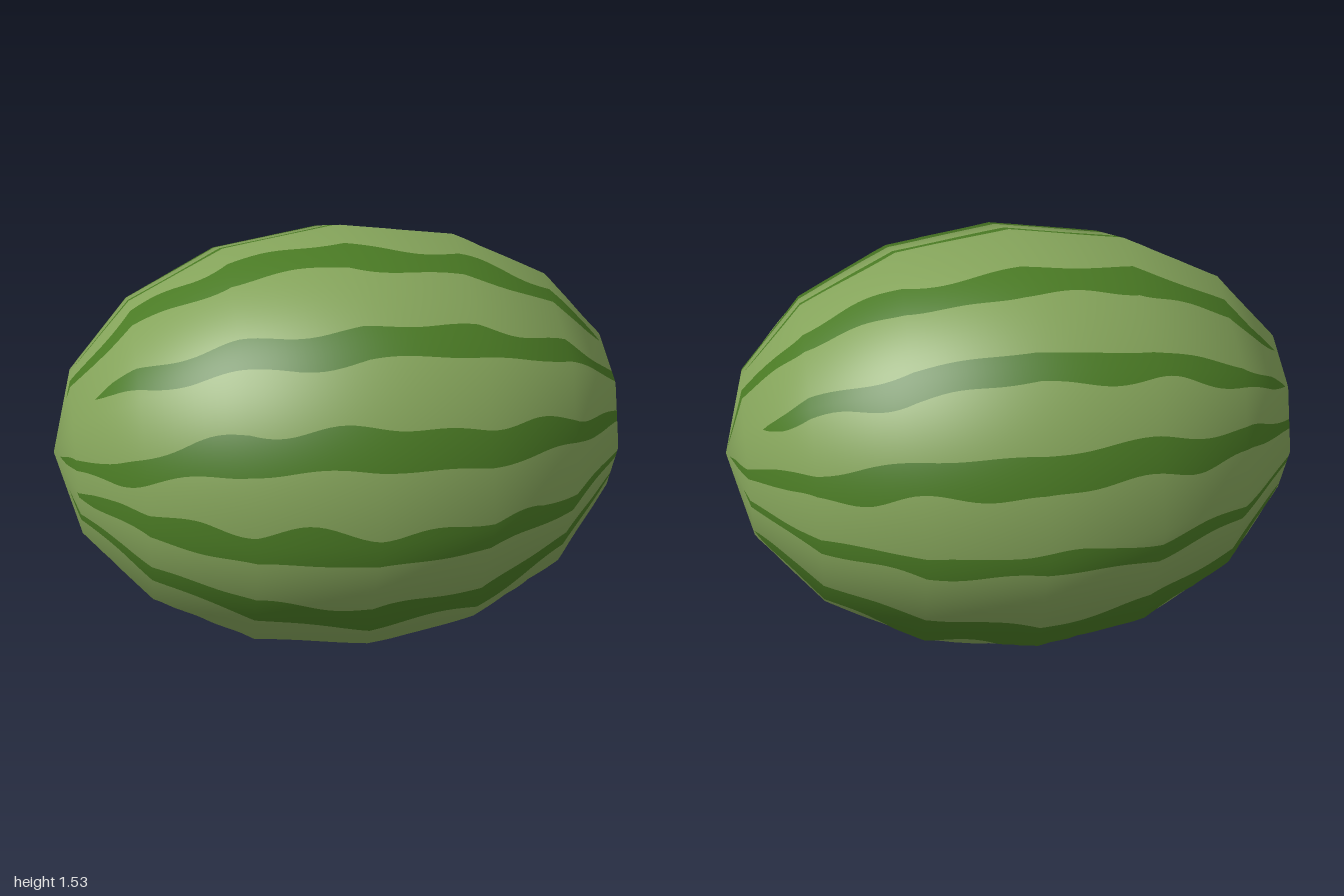
import * as THREE from 'three';
import { mergeGeometries } from 'three/addons/utils/BufferGeometryUtils.js';

const R = 0.77;      // radius at the middle; half length is 1
const STEPS = 14;    // rows per profile segment
const COLS = 8;      // columns per band
const RAD = Math.PI / 180;

// Stripes around the long axis, in degrees from the top towards the front:
// [five centres from the right end to the left end], width, right end, left end
const KNOTS = [-2.4, -1, 0, 1, 2.4];
const STRIPES = [
  [[8, 8.5, 10, 12, 10], 8, -3.2, 2.93],
  [[35, 40, 40, 40, 39], 10, -2.6, 3.25],
  [[72, 65, 67, 69, 69], 11, -3.7, 3.9],
  [[90, 92, 93, 95, 96], 11, -3.05, 3.15],
  [[116, 121, 123, 125, 121], 9.5, -3.4, 3.05],
  [[140, 149, 150, 151, 148], 9, -2.7, 3.65],
  [[178, 180, 178, 177, 177], 9, -3.3, 2.95],
  [[207, 206, 206, 205, 203], 10, -3.6, 3.05],
  [[230, 231, 229, 232, 231], 11, -3, 3],
  [[260, 263, 266, 265, 264], 9, -3.7, 3.25],
  [[290, 291, 290, 290, 287], 10.5, -3.8, 3.8],
  [[314, 316, 317, 316, 314], 8, -2.9, 2.7],
  [[344, 346, 343, 344, 346], 9, -2.9, 3.9],
];

const lerp = THREE.MathUtils.lerp;

// Point and smooth normal on the eight-sided body;
// u runs from -4 to 4 along x, one unit for each ring of the body
function surface(u, deg) {
  const k = Math.min(3, Math.floor(u)), f = u - k, d = Math.PI / 8;
  const ring = i => {
    const x = Math.sin(i * d), c = Math.cos(i * d), n = Math.hypot(x, c / R);
    return [x, c * R, x / n, c / R / n];
  };
  const a = ring(k), b = ring(k + 1);
  const [x, r, nx, nr] = a.map((v, i) => lerp(v, b[i], f));
  const side = ((deg % 45) + 45) % 45 - 22.5;
  const oct = Math.cos(22.5 * RAD) / Math.cos(side * RAD);
  const y = oct * Math.cos(deg * RAD), z = oct * Math.sin(deg * RAD);
  return {
    p: [x, R + r * y, r * z],
    n: new THREE.Vector3(nx, nr * y, nr * z).normalize().toArray(),
  };
}

// Wavy edges of stripe i at u, as [start, end] in degrees
function stripeEdges(i, u) {
  const [centres, width, from, to] = STRIPES[i];
  let k = 0;
  while (k < 3 && u > KNOTS[k + 1]) k++;
  const f = THREE.MathUtils.clamp((u - KNOTS[k]) / (KNOTS[k + 1] - KNOTS[k]), 0, 1);
  const centre = lerp(centres[k], centres[k + 1], f) + 0.9 * Math.sin(u * 4.1 + i * 2.3);
  const end = THREE.MathUtils.clamp(Math.min(u - from, to - u) / 0.25, 0, 1);
  const slim = 1 - 0.25 * Math.min(1, Math.max(0, Math.abs(u) - 1.5));
  const half = width / 2 * Math.sqrt(end) * slim;
  return [
    centre - half * (1 + 0.18 * Math.sin(u * 6.3 + i * 1.7)),
    centre + half * (1 + 0.18 * Math.sin(u * 5.2 + i * 3.1 + 1)),
  ];
}

// Strip of surface between two edges that vary along the length
function band(edges) {
  const pos = [], nor = [], idx = [], rows = 8 * STEPS;
  for (let j = 0; j <= rows; j++) {
    const u = -4 + j / STEPS, [a, b] = edges(u);
    for (let c = 0; c <= COLS; c++) {
      const s = surface(u, lerp(a, b, c / COLS));
      pos.push(...s.p);
      nor.push(...s.n);
      if (j < rows && c < COLS) {
        const q = j * (COLS + 1) + c, t = q + COLS + 1;
        idx.push(q, q + 1, t, q + 1, t + 1, t);
      }
    }
  }
  const g = new THREE.BufferGeometry();
  g.setAttribute('position', new THREE.Float32BufferAttribute(pos, 3));
  g.setAttribute('normal', new THREE.Float32BufferAttribute(nor, 3));
  g.setIndex(idx);
  return g;
}

export function createModel() {
  const group = new THREE.Group();
  group.name = 'watermelon';
  const light = new THREE.MeshStandardMaterial({ color: 0x84a35a });
  light.name = 'lightGreen';
  const dark = new THREE.MeshStandardMaterial({ color: 0x4a7a24 });
  dark.name = 'darkGreen';

  // Dark stripes, and the light rind filling the gaps between them
  const count = STRIPES.length;
  const stripes = STRIPES.map((_, i) => band(u => stripeEdges(i, u)));
  const rind = STRIPES.map((_, i) => band(u => {
    const next = (i + 1) % count;
    return [stripeEdges(i, u)[1], stripeEdges(next, u)[0] + (next === 0 ? 360 : 0)];
  }));
  for (const [name, parts, material] of [['rind', rind, light], ['stripes', stripes, dark]]) {
    const mesh = new THREE.Mesh(mergeGeometries(parts), material);
    mesh.name = name;
    group.add(mesh);
  }
  return group;
}
